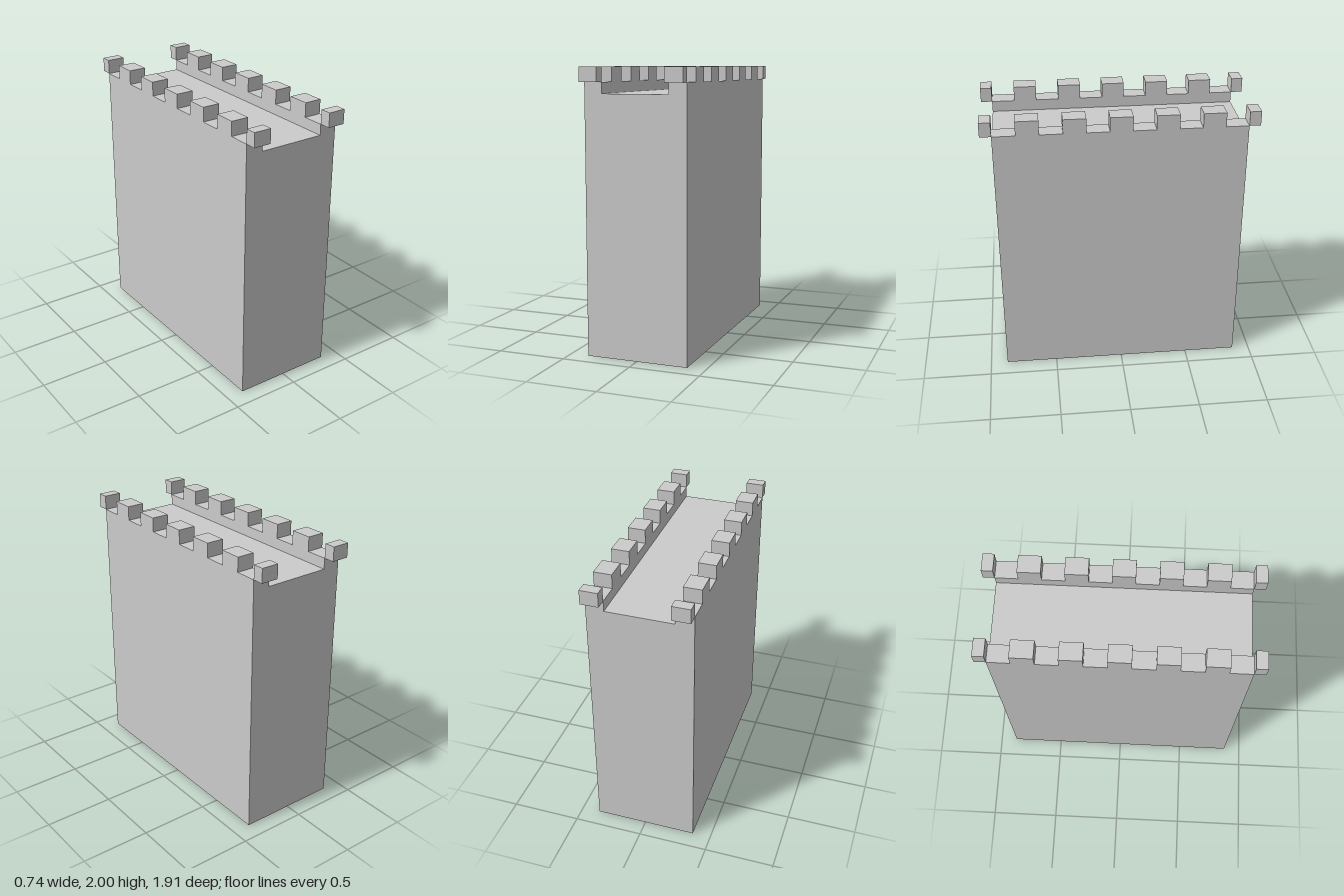
import * as THREE from 'three';

const U = 0.0796;            // half a merlon, in depth
const OUT = 0.368, IN = 0.24; // outer and inner faces of the parapets
const Z = 11 * U;            // half depth of the wall
const ROOF = 1.82, WALK = 1.897, TOP = 2;

const material = new THREE.MeshStandardMaterial({ color: 0xcccccc, flatShading: true, side: THREE.DoubleSide });

function add(parent, name, geometry) {
  const mesh = new THREE.Mesh(geometry, material);
  mesh.name = name;
  parent.add(mesh);
  return mesh;
}

// Flat panel from an outline of [x, y] points
const panel = (pts) => new THREE.ShapeGeometry(new THREE.Shape(pts.map(([x, y]) => new THREE.Vector2(x, y))));

// Ribbon that follows a [z, y] path and spans x from a to b
function ribbon(path, a, b) {
  const pos = [];
  for (let i = 0; i + 1 < path.length; i++) {
    const [z0, y0] = path[i], [z1, y1] = path[i + 1];
    pos.push(a, y0, z0, b, y0, z0, b, y1, z1, a, y0, z0, b, y1, z1, a, y1, z1);
  }
  const g = new THREE.BufferGeometry();
  g.setAttribute('position', new THREE.Float32BufferAttribute(pos, 3));
  g.computeVertexNormals();
  return g;
}

export function createModel() {
  const model = new THREE.Group();
  model.name = 'castleWallSection';

  // Battlement outline from front to back: five whole merlons, gaps between
  const crenels = [[Z, WALK]];
  for (let k = 2; k >= -2; k--) {
    const f = (4 * k + 1) * U, b = (4 * k - 1) * U;
    crenels.push([f, WALK], [f, TOP], [b, TOP], [b, WALK]);
  }
  crenels.push([-Z, WALK]);

  for (const s of [1, -1]) {
    const side = new THREE.Group();
    side.name = s > 0 ? 'leftSide' : 'rightSide';
    model.add(side);

    // Outer wall face reaches the ground, inner parapet face stops at the roof
    const faces = [['outerFace', OUT, 0, s], ['parapetInnerFace', IN, ROOF, -s]];
    for (const [name, x, base, facing] of faces) {
      const face = add(side, name, panel([[Z, base], ...crenels, [-Z, base]]));
      face.rotation.y = facing * Math.PI / 2;
      face.position.x = s * x;
    }

    // Tops and ends of the merlons and gaps
    add(side, 'battlementTop', ribbon(crenels, s > 0 ? IN : -OUT, s > 0 ? OUT : -IN));

    // Half merlons overhanging each end
    for (const e of [1, -1]) {
      const half = add(side, 'endMerlon', new THREE.BoxGeometry(OUT - IN, TOP - WALK, U));
      half.position.set(s * (OUT + IN) / 2, (TOP + WALK) / 2, e * (Z + U / 2));
    }
  }

  // Walkway between the parapets; the wall is hollow and open below
  add(model, 'walkway', ribbon([[Z, ROOF], [-Z, ROOF]], -IN, IN));

  // Notched end walls
  const outline = [[-OUT, 0], [OUT, 0], [OUT, WALK], [IN, WALK], [IN, ROOF], [-IN, ROOF], [-IN, WALK], [-OUT, WALK]];
  for (const e of [1, -1]) {
    const end = add(model, e > 0 ? 'frontWall' : 'backWall', panel(outline));
    end.position.z = e * Z;
    if (e < 0) end.rotation.y = Math.PI;
  }
  return model;
}
